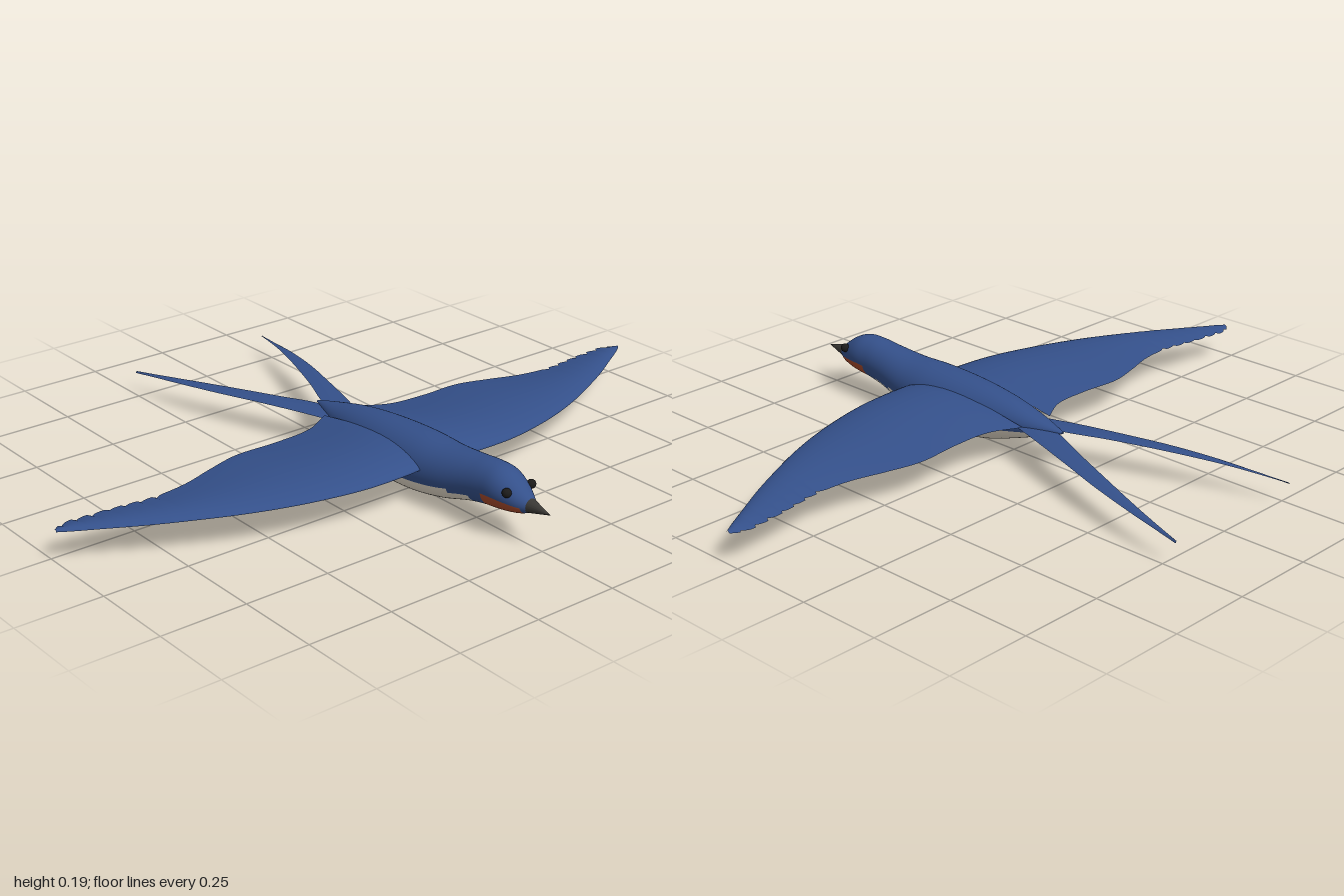
import * as THREE from 'three';

const mat = (name, color, side = THREE.FrontSide) => {
  const m = new THREE.MeshStandardMaterial({ color, side });
  m.name = name;
  return m;
};

// Smooth table lookup: rows are [position, ...values], positions ascending
function smoothTable(rows) {
  const n = rows[0].length - 1;
  const c = new THREE.CubicInterpolant(rows.map(r => r[0]), rows.flatMap(r => r.slice(1)), n, new Array(n));
  return t => Array.from(c.evaluate(t));
}

// Skin a list of rings; pick(i, j) chooses the material index of each quad
function loft(rings, { closed = true, flip = false, pick = () => 0, kinds = 1 } = {}) {
  const n = rings[0].length;
  const faces = Array.from({ length: kinds }, () => []);
  for (let i = 0; i < rings.length - 1; i++) {
    for (let j = 0; j < (closed ? n : n - 1); j++) {
      const k = (j + 1) % n;
      const a = i * n + j, b = a + n, c = (i + 1) * n + k, d = i * n + k;
      faces[pick(i, j)].push(...(flip ? [a, c, d, a, b, c] : [a, d, c, a, c, b]));
    }
  }
  const g = new THREE.BufferGeometry();
  g.setAttribute('position', new THREE.Float32BufferAttribute(rings.flat(2), 3));
  g.setIndex(faces.flat());
  let start = 0;
  faces.forEach((f, m) => { g.addGroup(start, f.length, m); start += f.length; });
  g.computeVertexNormals();
  return g;
}

// Body: z, half width, top, bottom
const bodyAt = smoothTable([
  [-0.185, 0.004, 0.112, 0.106], [-0.1, 0.036, 0.133, 0.075], [0, 0.06, 0.156, 0.04],
  [0.1, 0.077, 0.17, 0.012], [0.2, 0.087, 0.177, 0.003], [0.3, 0.087, 0.18, 0.008],
  [0.4, 0.077, 0.179, 0.026], [0.5, 0.063, 0.187, 0.055], [0.56, 0.058, 0.193, 0.067],
  [0.61, 0.056, 0.19, 0.073], [0.65, 0.046, 0.172, 0.079], [0.69, 0.028, 0.143, 0.09],
  [0.72, 0.006, 0.122, 0.108],
]);

function bodyGeometry() {
  const Z0 = -0.185, Z1 = 0.72, N = 90, S = 56;
  const zAt = i => Z0 + (Z1 - Z0) * i / N;
  const rings = [];
  for (let i = 0; i <= N; i++) {
    const z = zAt(i), [w, top, bot] = bodyAt(z);
    rings.push(Array.from({ length: S }, (_, j) => {
      const a = j / S * Math.PI * 2;
      return [w * Math.cos(a), (top + bot) / 2 + (top - bot) / 2 * Math.sin(a), z];
    }));
  }
  // Pale belly and rust throat, with a blue breast band between them
  const pick = (i, j) => {
    const z = zAt(i + 0.5), s = Math.sin((j + 0.5) / S * Math.PI * 2);
    if (z > 0.57 && z < 0.69 && s < -0.25) return 2;
    if (z > -0.08 && z < 0.515 && s < (z > 0.45 ? -0.5 : -0.36)) return 1;
    return 0;
  };
  return loft(rings, { pick, kinds: 3 });
}

// Wing outline: x, leading edge z, trailing edge z
const wingAt = smoothTable([
  [0.055, 0.36, -0.085], [0.14, 0.363, -0.04], [0.26, 0.357, -0.03], [0.4, 0.328, -0.035],
  [0.5, 0.297, -0.01], [0.6, 0.257, 0.02], [0.69, 0.214, 0.029], [0.8, 0.157, 0.016],
  [0.9, 0.098, 0.004], [0.97, 0.056, 0.004], [1, 0.036, 0.024],
]);

function wingGeometry(side) {
  const N = 130, M = 18, rings = [];
  for (let i = 0; i <= N; i++) {
    const s = i / N, x = 0.055 + 0.945 * s;
    let [lead, trail] = wingAt(x);
    // Feather tips notch the outer trailing edge
    if (x > 0.66 && x < 0.985) trail += 0.014 * ((x - 0.66) / 0.045 % 1) ** 3;
    const base = 0.113 - 0.02 * s;
    const camber = 0.034 * (1 - 0.85 * s);
    const thick = (0.014 - 0.009 * s) * Math.min(1, s * 25, (1 - s) * 25);
    const ring = [];
    for (let j = 0; j <= 2 * M; j++) {
      const upper = j <= M;
      const u = (1 - Math.cos(Math.PI * Math.abs(M - j) / M)) / 2; // 0 leading, 1 trailing
      const y = base + camber * Math.sin(Math.PI * u ** 0.7)
        + (upper ? 1 : -1) * thick * Math.sqrt(u) * (1 - u);
      ring.push([side * x, y, lead + (trail - lead) * u]);
    }
    rings.push(ring);
  }
  return loft(rings, { closed: false, flip: side < 0 });
}

// Tail streamer: distance behind centre, inner x, outer x, y
const tailAt = smoothTable([
  [0.06, 0, 0.05, 0.108], [0.16, 0.004, 0.083, 0.108], [0.3, 0.062, 0.127, 0.104],
  [0.45, 0.122, 0.173, 0.097], [0.6, 0.178, 0.208, 0.087], [0.7, 0.21, 0.225, 0.078],
  [0.78, 0.233, 0.238, 0.07],
]);

function tailGeometry(side) {
  const rings = [];
  for (let i = 0; i <= 40; i++) {
    const d = 0.06 + 0.72 * i / 40, [a, b, y] = tailAt(d);
    rings.push(Array.from({ length: 7 }, (_, j) => {
      const u = j / 6;
      return [side * (a + (b - a) * u), y + 0.003 * Math.sin(Math.PI * u) - 0.004 * u, -d];
    }));
  }
  return loft(rings, { closed: false, flip: side > 0 });
}

export function createModel() {
  const blue = mat('plumageBlue', 0x34508a);
  const blueThin = blue;
  blueThin.side = THREE.DoubleSide;
  const cream = mat('bellyCream', 0xe6dccb);
  const rust = mat('throatRust', 0xa84a2b);
  const beakGrey = mat('beakGrey', 0x3a3835);
  const black = mat('eyeBlack', 0x1c1b1a);

  const model = new THREE.Group();
  model.name = 'bird';
  const add = (name, geometry, material, x = 0, y = 0, z = 0) => {
    const m = new THREE.Mesh(geometry, material);
    m.name = name;
    m.position.set(x, y, z);
    model.add(m);
    return m;
  };

  add('body', bodyGeometry(), [blue, cream, rust]);
  add('beak', new THREE.ConeGeometry(0.023, 0.085, 16).rotateX(Math.PI / 2), beakGrey, 0, 0.115, 0.7325);

  for (const [side, label] of [[1, 'left'], [-1, 'right']]) {
    add(label + 'Wing', wingGeometry(side), blueThin);
    add(label + 'TailFeather', tailGeometry(side), blueThin);
    add(label + 'Eye', new THREE.SphereGeometry(0.013, 16, 12), black, side * 0.043, 0.147, 0.657);
  }
  return model;
}
